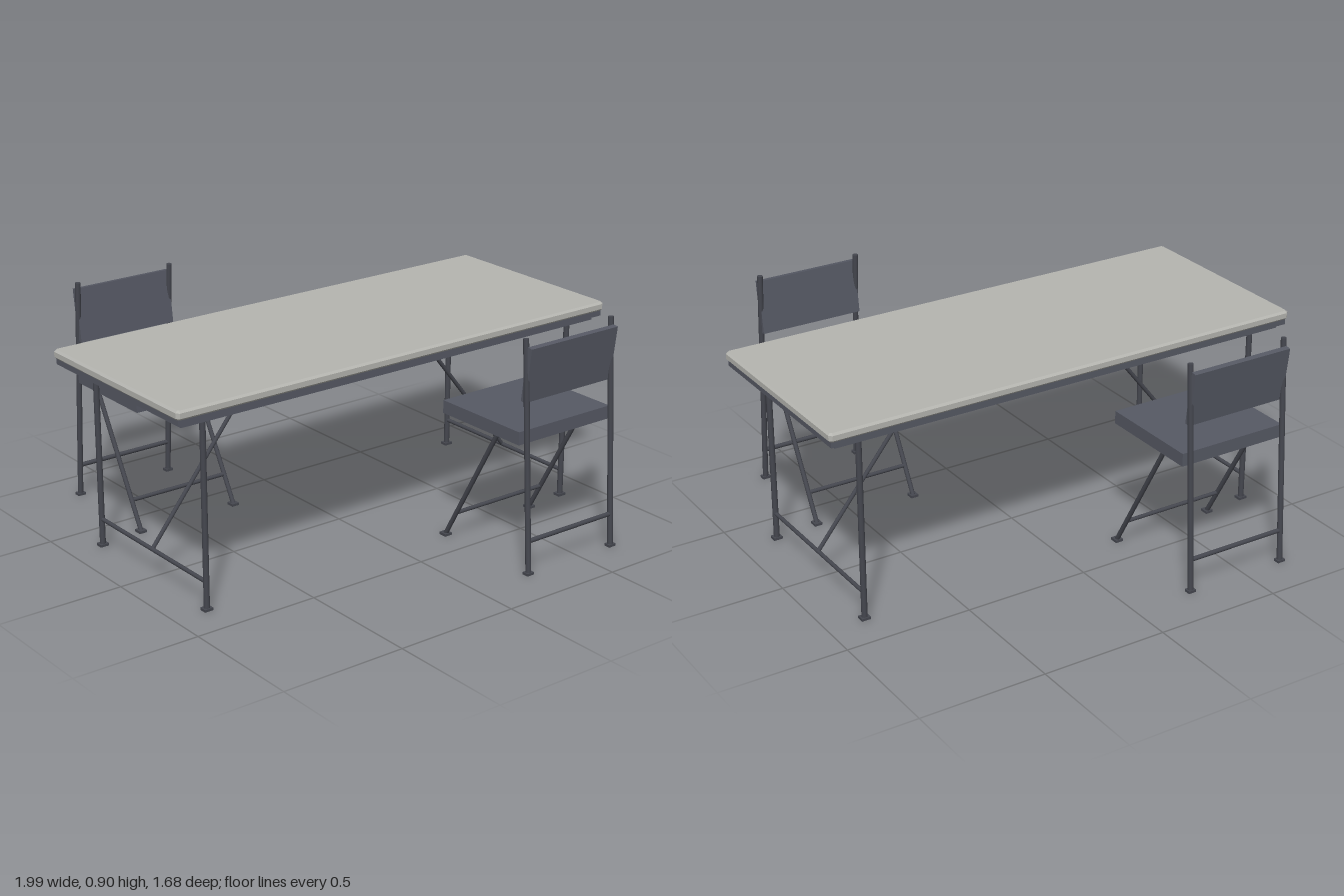
import * as THREE from 'three';

const topGrey = new THREE.MeshStandardMaterial({ color: 0xb5b5b0 });
topGrey.name = 'tableTopGrey';
const slate = new THREE.MeshStandardMaterial({ color: 0x565964 });
slate.name = 'slatePanel';
const metal = new THREE.MeshStandardMaterial({ color: 0x45474f });
metal.name = 'darkMetal';

function add(parent, name, geometry, material, x = 0, y = 0, z = 0) {
  const mesh = new THREE.Mesh(geometry, material);
  mesh.name = name;
  mesh.position.set(x, y, z);
  parent.add(mesh);
  return mesh;
}

function box(parent, name, material, w, h, d, x, y, z) {
  return add(parent, name, new THREE.BoxGeometry(w, h, d), material, x, y, z);
}

// Round bar between two points
function bar(parent, name, a, b, radius) {
  const from = new THREE.Vector3(...a), to = new THREE.Vector3(...b);
  const dir = to.clone().sub(from);
  const mesh = add(parent, name, new THREE.CylinderGeometry(radius, radius, dir.length(), 10), metal);
  mesh.position.copy(from).add(to).multiplyScalar(0.5);
  mesh.quaternion.setFromUnitVectors(new THREE.Vector3(0, 1, 0), dir.normalize());
  return mesh;
}

// Horizontal slab with chamfered edges and cut corners
function slab(w, h, d, bevel, cut) {
  const x = w / 2 - bevel, z = d / 2 - bevel;
  const shape = new THREE.Shape([
    [-x + cut, -z], [x - cut, -z], [x, -z + cut], [x, z - cut],
    [x - cut, z], [-x + cut, z], [-x, z - cut], [-x, -z + cut],
  ].map(([px, pz]) => new THREE.Vector2(px, pz)));
  const g = new THREE.ExtrudeGeometry(shape, {
    depth: h - 2 * bevel, bevelEnabled: true, bevelThickness: bevel, bevelSize: bevel, bevelSegments: 1,
  });
  g.translate(0, 0, bevel - h / 2);
  g.rotateX(-Math.PI / 2);
  return g;
}

function makeTable() {
  const table = new THREE.Group();
  table.name = 'table';
  // Stepped top
  add(table, 'tableTop', slab(1.988, 0.036, 0.82, 0.008, 0.006), topGrey, 0, 0.782, 0);
  box(table, 'topRim', slate, 1.97, 0.022, 0.80, 0, 0.753, 0);
  box(table, 'underFrame', slate, 1.92, 0.018, 0.756, 0, 0.734, 0);
  box(table, 'foldingPlate', metal, 0.32, 0.008, 0.055, 0, 0.721, 0);
  // Leg frames at both ends
  for (const s of [-1, 1]) {
    const x = s * 0.854;
    for (const z of [-0.349, 0.349]) {
      bar(table, 'tableLeg', [x, 0, z], [x, 0.727, z], 0.0115);
      box(table, 'tableFoot', metal, 0.036, 0.01, 0.03, x, 0.005, z);
    }
    bar(table, 'tableCrossbar', [x, 0.11, -0.349], [x, 0.11, 0.349], 0.008);
    bar(table, 'tableBrace', [x, 0.11, 0], [s * 0.36, 0.727, 0], 0.008);
  }
  return table;
}

// Chair on the +z side, facing the table
function makeChair() {
  const chair = new THREE.Group();
  chair.name = 'chair';
  // Seat tray, open underneath
  box(chair, 'seat', slate, 0.452, 0.03, 0.42, 0, 0.532, 0.56);
  for (const s of [-1, 1]) {
    box(chair, 'seatSideRim', slate, 0.012, 0.022, 0.42, s * 0.22, 0.507, 0.56);
    box(chair, 'seatEndRim', slate, 0.43, 0.022, 0.012, 0, 0.507, 0.56 + s * 0.204);
  }
  // Reclined backrest
  const back = box(chair, 'backrest', slate, 0.424, 0.212, 0.022, 0, 0.765, 0.783);
  back.rotation.x = 0.13;
  // Legs and feet
  for (const s of [-1, 1]) {
    const x = s * 0.209, fx = s * 0.216;
    bar(chair, 'backLeg', [x, 0.004, 0.826], [x, 0.9, 0.772], 0.011);
    box(chair, 'backFoot', metal, 0.032, 0.01, 0.026, x, 0.005, 0.826);
    bar(chair, 'frontLeg', [fx, 0.004, 0.366], [fx, 0.505, 0.648], 0.009);
    box(chair, 'frontFoot', metal, 0.032, 0.01, 0.034, fx, 0.005, 0.367);
  }
  bar(chair, 'backCrossbar', [-0.209, 0.13, 0.818], [0.209, 0.13, 0.818], 0.009);
  bar(chair, 'frontCrossbar', [-0.216, 0.112, 0.427], [0.216, 0.112, 0.427], 0.008);
  return chair;
}

export function createModel() {
  const model = new THREE.Group();
  model.name = 'foldingTableSet';
  const set = new THREE.Group();
  set.name = 'tableAndChairs';
  set.position.x = -0.006;
  model.add(set);
  set.add(makeTable());
  // Two chairs facing each other, half a turn apart
  for (const turn of [0, Math.PI]) {
    const pivot = new THREE.Group();
    pivot.name = turn ? 'rearChair' : 'nearChair';
    pivot.rotation.y = turn;
    const chair = makeChair();
    chair.position.x = 0.456;
    pivot.add(chair);
    set.add(pivot);
  }
  return model;
}
